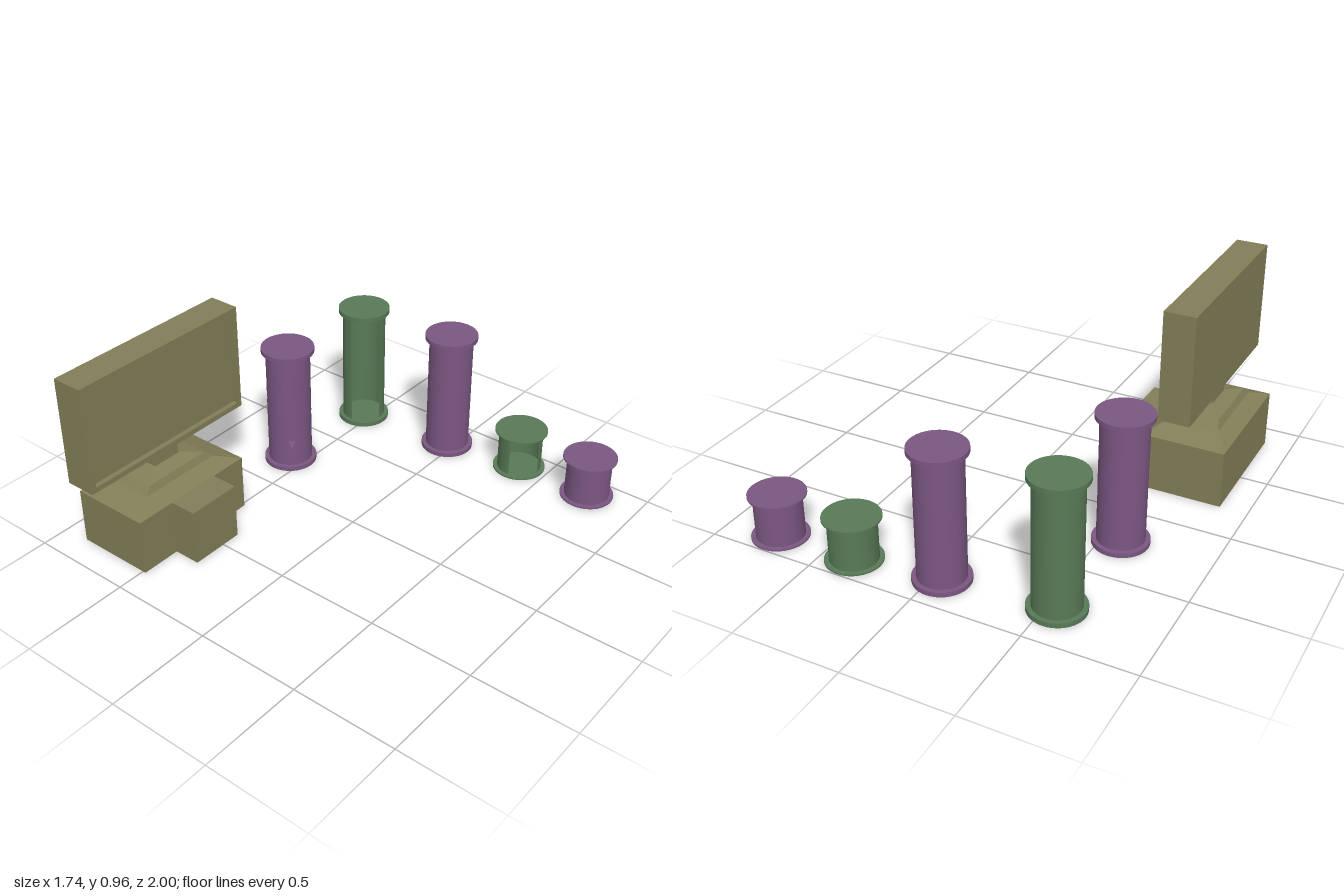
import * as THREE from 'three';

const material = (color, flat) =>
  new THREE.MeshStandardMaterial({ color, flatShading: flat, side: THREE.DoubleSide });
const OLIVE = material(0x827e58, true);
const PURPLE = material(0x7b5782, false);
const GREEN = material(0x587a56, false);

const CAP_R = 0.128, BODY_R = 0.107;

function addMesh(parent, name, geometry, mat, x = 0, y = 0, z = 0) {
  const mesh = new THREE.Mesh(geometry, mat);
  mesh.name = name;
  mesh.position.set(x, y, z);
  parent.add(mesh);
  return mesh;
}

// Box given by its limits
function addBox(parent, name, x0, x1, y0, y1, z0, z1) {
  return addMesh(parent, name, new THREE.BoxGeometry(x1 - x0, y1 - y0, z1 - z0), OLIVE,
    (x0 + x1) / 2, (y0 + y1) / 2, (z0 + z1) / 2);
}

// Curved tank wall. Each row is [height, gap start, gap end] in degrees from +x towards +z
function wallGeometry(rows) {
  const cols = 32;
  const geo = new THREE.PlaneGeometry(1, 1, cols, rows.length - 1);
  const pos = geo.attributes.position, normal = geo.attributes.normal;
  for (let i = 0; i < pos.count; i++) {
    const [y, from, to] = rows[rows.length - 1 - Math.floor(i / (cols + 1))];
    const u = (i % (cols + 1)) / cols;
    const a = THREE.MathUtils.degToRad(360 + from - u * (360 + from - to));
    pos.setXYZ(i, BODY_R * Math.cos(a), y, BODY_R * Math.sin(a));
    normal.setXYZ(i, Math.cos(a), 0, Math.sin(a));
  }
  return geo;
}

// Jagged break in the damaged tank
const CRACK = [
  [0.11, 46, 46], [0.16, 35, 52], [0.22, 24, 58], [0.28, 10, 56], [0.34, 17, 70],
  [0.375, 22, 52], [0.42, 8, 72], [0.445, 4, 68], [0.52, 28, 58], [0.6, 46, 46],
];

// Tank: two round caps and a wall that is whole, cracked or open at one quarter
function makeTank(name, x, z, height, cap, mat, style) {
  const tank = new THREE.Group();
  tank.name = name;
  tank.position.set(x, 0, z);
  const low = cap, high = height - cap;
  const gap = { whole: [0, 0], cracked: [46, 46], open: [3, 87] }[style];
  const rows = [[low, ...gap], ...(style === 'cracked' ? CRACK : []), [high, ...gap]];
  addMesh(tank, 'tankWall', wallGeometry(rows), mat);
  const capGeo = new THREE.CylinderGeometry(CAP_R, CAP_R, cap, 40);
  addMesh(tank, 'bottomCap', capGeo, mat, 0, cap / 2, 0);
  addMesh(tank, 'topCap', capGeo, mat, 0, height - cap / 2, 0);
  return tank;
}

// Stack of rectangles [halfX, halfZ, y] joined by sloping faces, closed on top
function steppedRoof(layers) {
  const rings = layers.map(([w, d, y]) =>
    [[-w, y, d], [w, y, d], [w, y, -d], [-w, y, -d]]);
  const points = [];
  const quad = (a, b, c, d) => points.push(...a, ...b, ...c, ...a, ...c, ...d);
  for (let i = 0; i + 1 < rings.length; i++) {
    for (let k = 0; k < 4; k++) {
      const n = (k + 1) % 4;
      quad(rings[i][k], rings[i][n], rings[i + 1][n], rings[i + 1][k]);
    }
  }
  quad(...rings[rings.length - 1]);
  const geo = new THREE.BufferGeometry();
  geo.setAttribute('position', new THREE.Float32BufferAttribute(points, 3));
  geo.computeVertexNormals();
  return geo;
}

function makeConsole() {
  const unit = new THREE.Group();
  unit.name = 'console';

  // Pedestal with a front block
  addBox(unit, 'pedestal', -0.87, -0.485, 0, 0.272, 0.218, 0.862);
  addBox(unit, 'frontBlock', -0.485, -0.355, 0, 0.272, 0.405, 0.668);
  addMesh(unit, 'pedestalTop', steppedRoof([
    [0.1925, 0.322, 0.272], [0.122, 0.206, 0.316], [0.106, 0.174, 0.35], [0.043, 0.075, 0.373],
  ]), OLIVE, -0.6775, 0, 0.54);
  addBox(unit, 'neck', -0.72, -0.635, 0.36, 0.455, 0.47, 0.614);

  // Monitor with a recessed screen facing +x
  const x0 = -0.75, x1 = -0.603, y0 = 0.447, y1 = 0.962, z0 = 0.08, z1 = 1;
  const recess = 0.025, rim = 0.025;
  addBox(unit, 'monitorBody', x0, x1 - recess, y0, y1, z0, z1);
  const w = (z1 - z0) / 2, h = (y1 - y0) / 2;
  const rect = (shape, a, b) =>
    shape.moveTo(-a, -b).lineTo(a, -b).lineTo(a, b).lineTo(-a, b).closePath();
  const outline = rect(new THREE.Shape(), w, h);
  outline.holes.push(rect(new THREE.Path(), w - rim, h - rim));
  const frame = new THREE.ExtrudeGeometry(outline, { depth: recess, bevelEnabled: false });
  frame.rotateY(Math.PI / 2);
  addMesh(unit, 'screenFrame', frame, OLIVE, x1 - recess, (y0 + y1) / 2, (z0 + z1) / 2);
  return unit;
}

export function createModel() {
  const model = new THREE.Group();
  model.name = 'laboratorySet';
  model.add(
    makeConsole(),
    makeTank('crackedTank', -0.583, -0.232, 0.632, 0.022, PURPLE, 'cracked'),
    makeTank('openTallTank', -0.548, -0.778, 0.632, 0.022, GREEN, 'open'),
    makeTank('tallTank', -0.042, -0.82, 0.632, 0.022, PURPLE, 'whole'),
    makeTank('openShortTank', 0.356, -0.873, 0.216, 0.008, GREEN, 'open'),
    makeTank('shortTank', 0.738, -0.873, 0.216, 0.008, PURPLE, 'whole'),
  );
  // Short tanks sit very slightly above the floor
  for (const name of ['openShortTank', 'shortTank']) model.getObjectByName(name).position.y = 0.004;
  return model;
}
